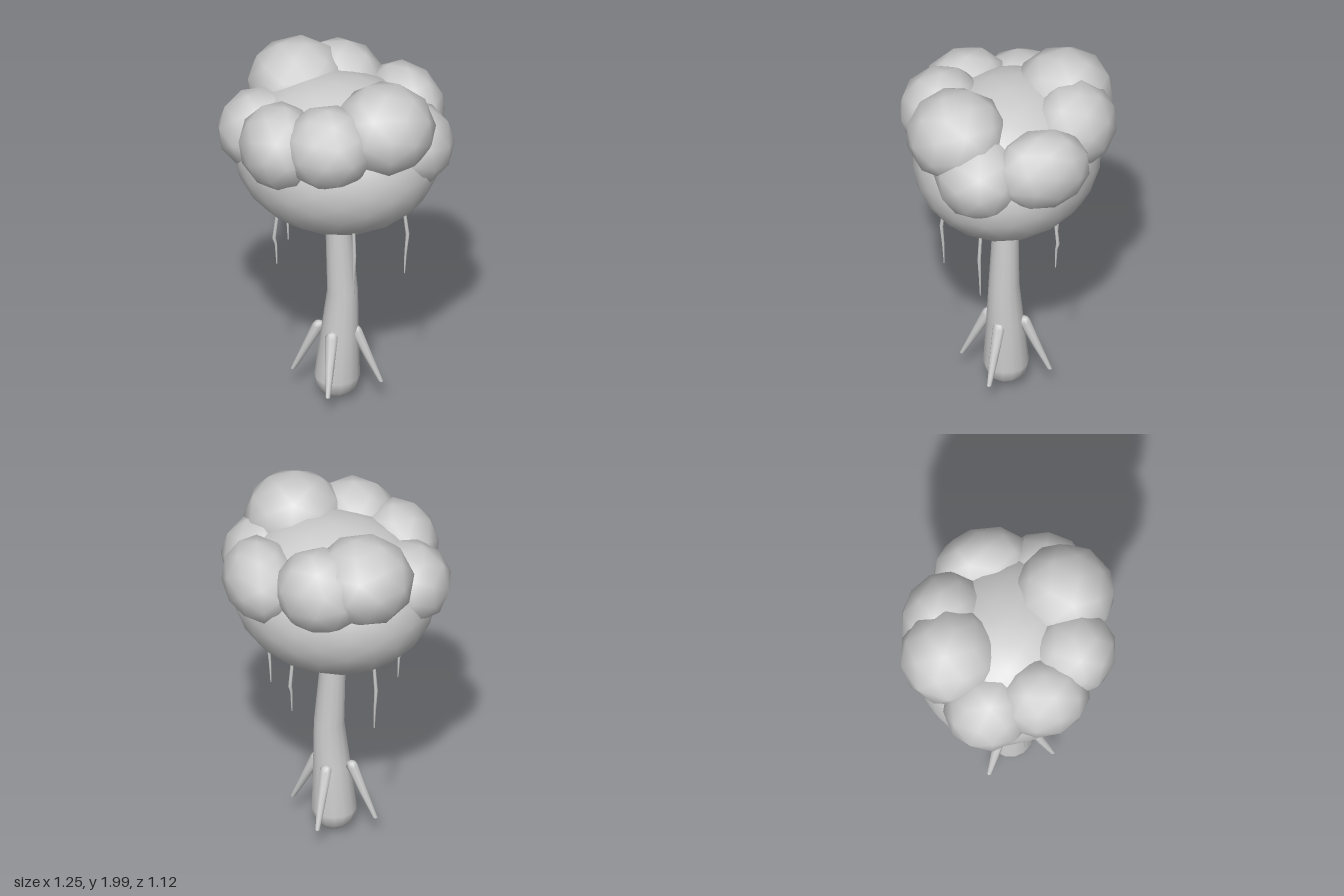
import * as THREE from 'three';
import { mergeVertices } from 'three/addons/utils/BufferGeometryUtils.js';

const grey = new THREE.MeshStandardMaterial({ color: 0xcccccc });
grey.name = 'light grey';

// Tapered limb from top to bottom through rings [x, y, z, radius]
function limb(name, rings, sides) {
  const n = rings.length - 1;
  let geo = new THREE.CylinderGeometry(1, 1, 1, sides, n, true);
  const p = geo.attributes.position;
  for (let i = 0; i < p.count; i++) {
    const [x, y, z, r] = rings[Math.round((0.5 - p.getY(i)) * n)];
    p.setXYZ(i, x + p.getX(i) * r, y, z + p.getZ(i) * r);
  }
  geo.deleteAttribute('uv');
  geo.deleteAttribute('normal');
  geo = mergeVertices(geo, 1e-5);
  geo.computeVertexNormals();
  const mesh = new THREE.Mesh(geo, grey);
  mesh.name = name;
  return mesh;
}

// Smooth-shaded, coarse ellipsoid of foliage; turn varies its facets, yaw its long axis
function blob(name, [x, y, z], [rx, ry, rz], yaw, turn, detail) {
  const geo = new THREE.IcosahedronGeometry(1.02, detail);
  geo.rotateX(turn * 0.7).rotateY(turn).scale(rx, ry, rz).rotateY(yaw).translate(x, y, z);
  const mesh = new THREE.Mesh(geo, grey);
  mesh.name = name;
  return mesh;
}

export function createModel() {
  const tree = new THREE.Group();
  tree.name = 'tree';

  // Slightly bent trunk with a rounded foot
  tree.add(limb('trunk', [
    [0.005, 1.2, 0, 0.062], [0.005, 1.06, 0, 0.067], [0.03, 0.65, 0, 0.081],
    [0.015, 0.4, 0, 0.099], [0, 0.13, 0, 0.12], [0, 0.07, 0, 0.106],
    [0, 0.025, 0, 0.062], [0, 0.005, 0, 0],
  ], 14));

  // Four prop roots splayed around the foot, front and back ones leaning sideways
  for (let i = 0; i < 4; i++) {
    const lean = i % 2 ? -0.018 : 0;
    const root = limb('propRoot', [
      [0.1, 0.438, 0, 0], [0.1, 0.43, 0, 0.022], [0.103, 0.41, 0, 0.033],
      [0.17, 0.265, lean / 2, 0.024], [0.238, 0.125, lean, 0.013], [0.243, 0.115, lean, 0],
    ], 8);
    root.rotation.y = i * Math.PI / 2;
    tree.add(root);
  }

  // Main canopy
  tree.add(blob('canopy', [0, 1.475, -0.005], [0.535, 0.41, 0.48], 0, 0, 3));

  // Foliage clumps ringed around the canopy: centre, radii, yaw
  const diagonal = Math.PI / 4;
  [
    [[0.303, 1.758, 0.157], [0.265, 0.24, 0.265], 0],
    [[-0.27, 1.737, -0.215], [0.268, 0.235, 0.262], 0],
    [[0.05, 1.705, 0.34], [0.242, 0.224, 0.222], 0],
    [[-0.22, 1.652, 0.307], [0.212, 0.23, 0.245], diagonal],
    [[-0.09, 1.697, -0.345], [0.25, 0.23, 0.22], 0],
    [[0.278, 1.643, -0.308], [0.195, 0.216, 0.265], diagonal],
    [[0.39, 1.592, -0.008], [0.233, 0.224, 0.238], 0],
    [[-0.387, 1.594, 0.07], [0.235, 0.222, 0.232], 0],
  ].forEach(([c, r, yaw], i) => tree.add(blob('foliageClump', c, r, yaw, i * 1.3 + 0.4, 1)));

  // Hanging vines: x, z, tip height
  [
    [0.372, 0, 0.8], [0.172, 0.285, 0.8], [-0.27, 0.22, 0.88],
    [-0.317, -0.17, 0.8], [0.095, -0.32, 0.88],
  ].forEach(([x, z, tip]) => {
    const ring = (k, y, r) => [x * k, y, z * k, r];
    tree.add(limb('hangingVine', [
      ring(0.98, 1.22, 0.008), ring(0.98, 1.18, 0.009), ring(1.03, 1.04, 0.01),
      ring(1, tip + 0.12, 0.007), ring(0.985, tip, 0.003),
    ], 6));
  });

  return tree;
}
